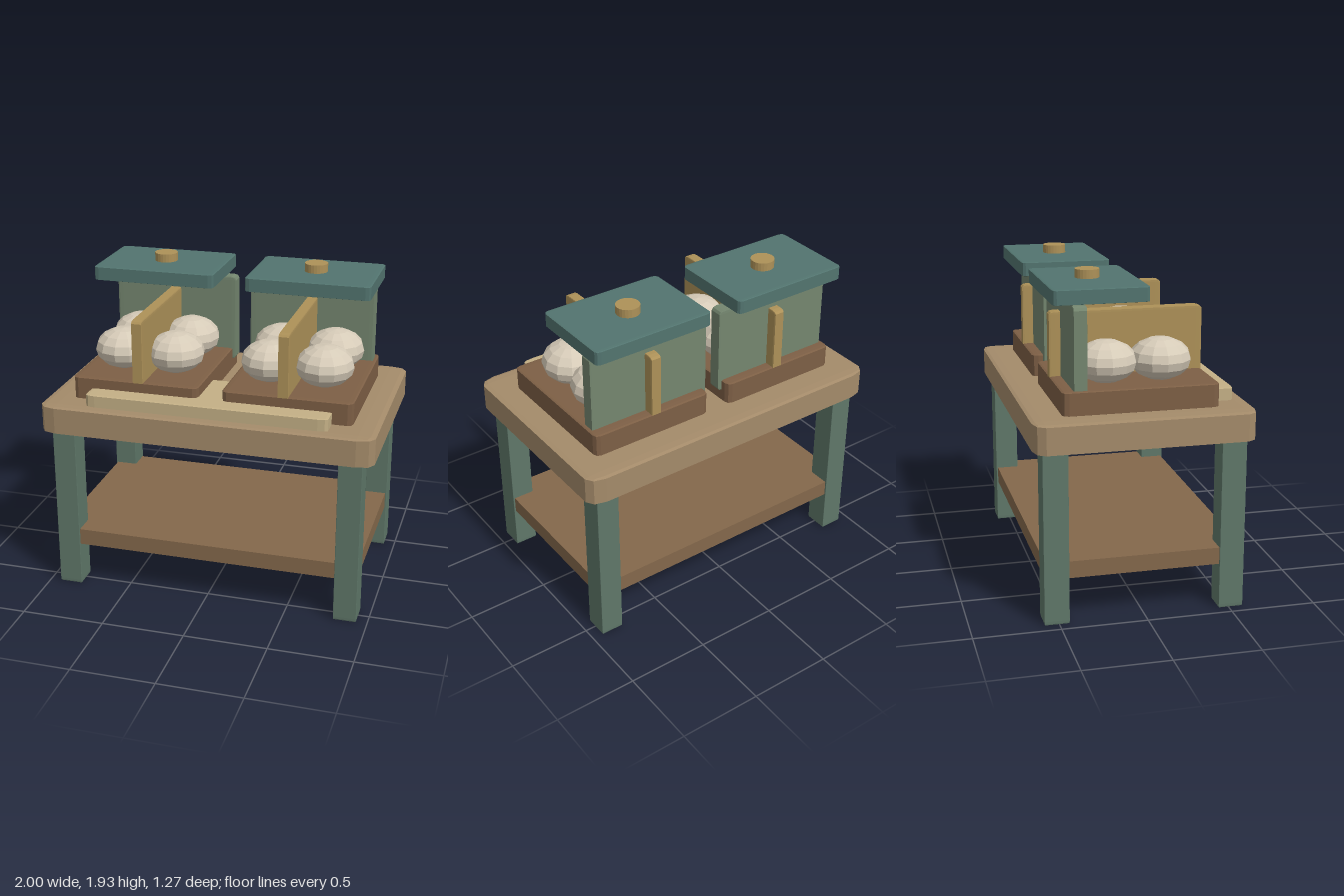
import * as THREE from 'three';
import { RoundedBoxGeometry } from 'three/addons/geometries/RoundedBoxGeometry.js';

const paint = (color) => new THREE.MeshStandardMaterial({ color, flatShading: true, roughness: 0.85 });

export function createModel() {
  const model = new THREE.Group();
  model.name = 'displayTable';

  const tan = paint(0xa48b6a);
  const green = paint(0x5f7769);
  const brown = paint(0x84684b);
  const darkBrown = paint(0x7d5f45);
  const sage = paint(0x74866f);
  const teal = paint(0x52746f);
  const ochre = paint(0xad9158);
  const cream = paint(0xc4b086);
  const shell = paint(0xd6cbb8);

  const add = (parent, name, geometry, material) => {
    const mesh = new THREE.Mesh(geometry, material);
    mesh.name = name;
    parent.add(mesh);
    return mesh;
  };

  // Block given by its limits; edges are chamfered in proportion to each side
  const block = (parent, name, material, [x0, x1], [y0, y1], [z0, z1], bevel = 0.05) => {
    const geometry = bevel
      ? new RoundedBoxGeometry(1, 1, 1, 1, bevel)
      : new THREE.BoxGeometry(1, 1, 1);
    geometry.scale(x1 - x0, y1 - y0, z1 - z0);
    const mesh = add(parent, name, geometry, material);
    mesh.position.set((x0 + x1) / 2, (y0 + y1) / 2, (z0 + z1) / 2);
    return mesh;
  };

  // Table
  block(model, 'tableTop', tan, [-1, 1], [1.01, 1.185], [-0.635, 0.635]);
  block(model, 'lowerShelf', brown, [-0.925, 0.925], [0.27, 0.37], [-0.575, 0.575], 0);
  for (const sx of [-1, 1]) {
    for (const sz of [-1, 1]) {
      const leg = block(model, 'leg', green, [-0.07, 0.07], [0, 1.02], [-0.0725, 0.0725], 0.02);
      leg.position.x = sx * 0.865;
      leg.position.z = sz * 0.5125;
    }
  }

  // Low board lying under the front of both trays
  block(model, 'frontBoard', cream, [-0.725, 0.725], [1.18, 1.258], [0.115, 0.57], 0.04);

  // Two mirrored egg crates
  for (const side of [-1, 1]) {
    const crate = new THREE.Group();
    crate.name = side > 0 ? 'leftCrate' : 'rightCrate';
    model.add(crate);
    const span = (a, b) => (side > 0 ? [a, b] : [-b, -a]);

    block(crate, 'tray', darkBrown, span(0.072, 0.845), [1.18, 1.32], [-0.45, 0.45], 0.04);
    block(crate, 'backPanel', sage, span(0.047, 0.825), [1.25, 1.785], [-0.385, -0.305], 0.04);
    block(crate, 'divider', ochre, span(0.405, 0.47), [1.29, 1.695], [-0.45, 0.45], 0.04);
    block(crate, 'lid', teal, span(0.097, 0.85), [1.80, 1.885], [-0.5, 0.042], 0.04);

    const knob = add(crate, 'lidKnob', new THREE.CylinderGeometry(0.07, 0.07, 0.06, 24), ochre);
    knob.position.set(side * 0.473, 1.905, -0.23);

    // Four faceted eggs, two on each side of the divider
    for (const x of [0.292, 0.62]) {
      for (const z of [-0.157, 0.16]) {
        const egg = add(crate, 'egg', new THREE.SphereGeometry(1, 12, 8), shell);
        egg.scale.set(0.175, 0.123, 0.178);
        egg.position.set(side * x, 1.432, z);
      }
    }
  }

  return model;
}
